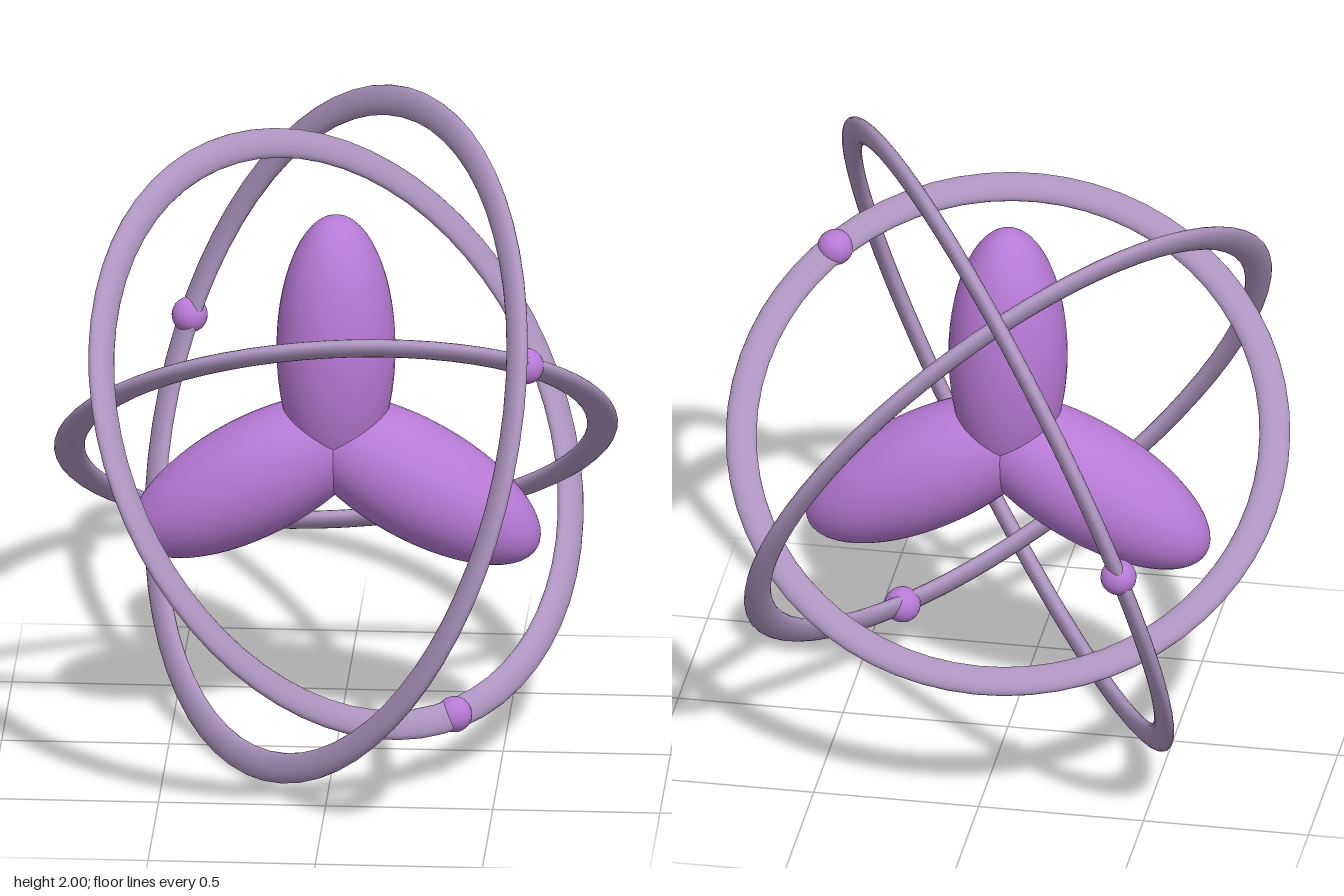
import * as THREE from 'three';

const lobeMaterial = new THREE.MeshStandardMaterial({ color: 0xb87ad6 });
lobeMaterial.name = 'bright purple';
const ringMaterial = new THREE.MeshStandardMaterial({ color: 0xad94bf });
ringMaterial.name = 'greyish purple';

// Each ring: radius, plane normal, and where its bead sits
const RINGS = [
  { name: 'largeRing', radius: 1.012, normal: [-0.815, 0.33, 0.47], bead: [-0.49, 0.04, -0.885] },
  { name: 'middleRing', radius: 0.908, normal: [0.67, 0.52, 0.53], bead: [0.37, -0.77, 0.29] },
  { name: 'smallRing', radius: 0.797, normal: [-0.085, 0.777, -0.625], bead: [0.59, 0.38, 0.375] },
];

function addMesh(parent, name, geometry, material) {
  const mesh = new THREE.Mesh(geometry, material);
  mesh.name = name;
  parent.add(mesh);
  return mesh;
}

export function createModel() {
  const model = new THREE.Group();
  model.name = 'orbitEmblem';
  const core = new THREE.Group();
  core.name = 'core';
  core.position.y = 1;
  model.add(core);

  // Three egg-shaped lobes meeting in the middle, 120 degrees apart
  ['topLobe', 'rightLobe', 'leftLobe'].forEach((name, i) => {
    const geometry = new THREE.SphereGeometry(1, 40, 28);
    geometry.scale(0.178, 0.42, 0.183);
    geometry.translate(0, 0.275, 0);
    geometry.rotateZ((i * Math.PI * 2) / 3);
    addMesh(core, name, geometry, lobeMaterial);
  });

  // Flattened orbit rings, each carrying one small bead
  const forward = new THREE.Vector3(0, 0, 1);
  for (const { name, radius, normal, bead } of RINGS) {
    const geometry = new THREE.TorusGeometry(radius, 0.046, 20, 64);
    geometry.scale(1, 1, 0.52);
    const ring = addMesh(core, name, geometry, ringMaterial);
    const axis = new THREE.Vector3(...normal).normalize();
    ring.quaternion.setFromUnitVectors(forward, axis);

    const ball = addMesh(core, name + 'Bead', new THREE.SphereGeometry(0.054, 24, 16), lobeMaterial);
    ball.position.set(...bead).projectOnPlane(axis).setLength(radius);
  }
  return model;
}
